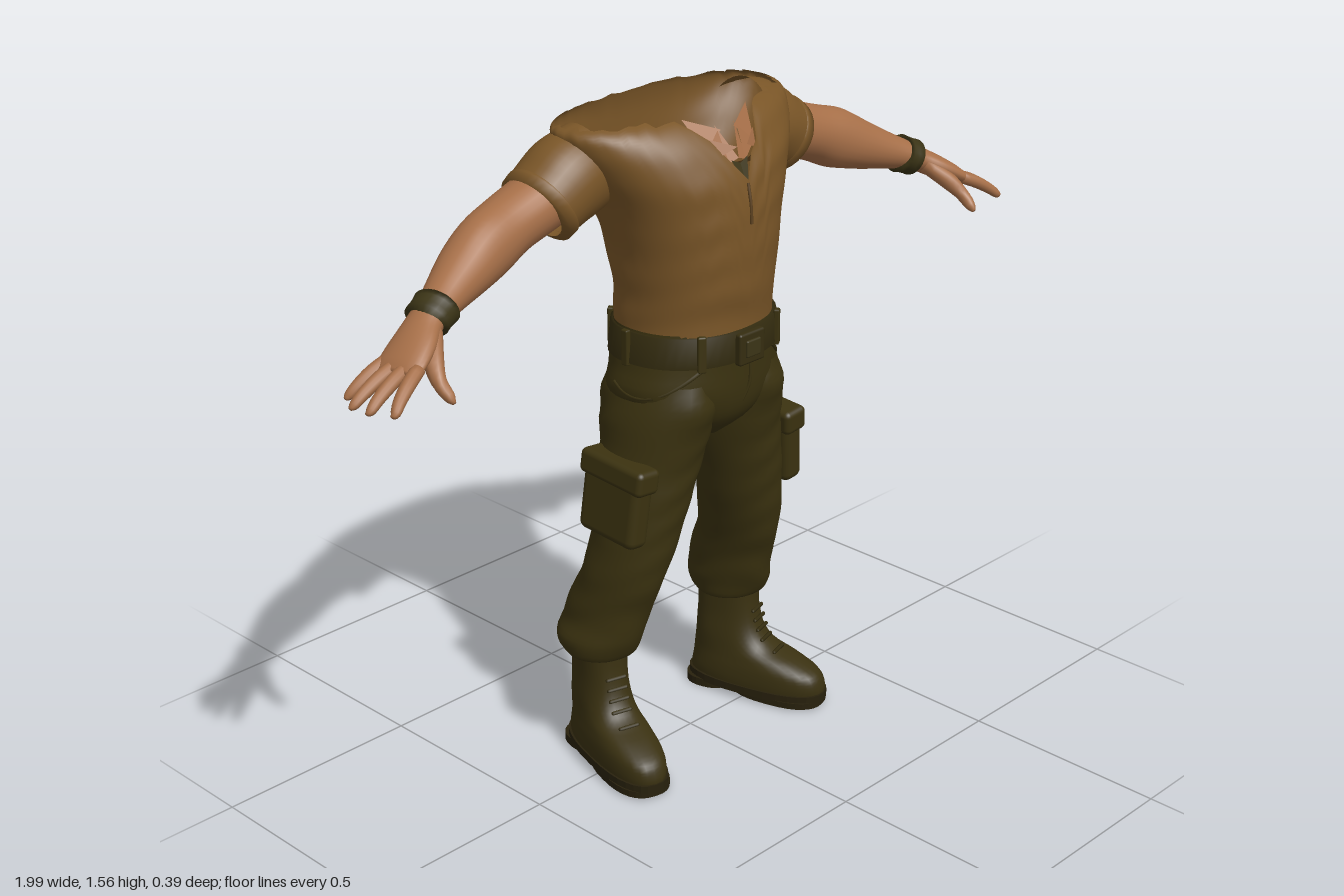
import * as THREE from 'three';
import { RoundedBoxGeometry } from 'three/addons/geometries/RoundedBoxGeometry.js';

const V = (x, y, z) => new THREE.Vector3(x, y, z);
const mat = (name, color) => {
  const m = new THREE.MeshStandardMaterial({ color, side: THREE.DoubleSide });
  m.name = name;
  return m;
};
const hash = (k) => {
  const v = Math.sin(k * 12.9898 + 4.1) * 43758.5453;
  return v - Math.floor(v);
};

// Smooth skin over rings [x, y, z, side radius, front radius, back radius].
// along: rings stand square to the path; otherwise they stay level.
// end(angle): how far up the path the skin reaches; fold: depth of cloth creases.
function loft(rings, { seg = 32, sub = 4, pow = 2, along = false, cap = false, end = null, fold = 0 } = {}) {
  const centre = new THREE.CatmullRomCurve3(rings.map((r) => V(r[0], r[1], r[2])), false, 'catmullrom');
  const radii = new THREE.CatmullRomCurve3(rings.map((r) => V(r[3], r[4], r[5] ?? r[4])), false, 'catmullrom');
  const rows = (rings.length - 1) * sub;
  const pos = [], idx = [];
  const bend = (v) => Math.sign(v) * Math.abs(v) ** (2 / pow);
  for (let i = 0; i <= rows; i++) {
    for (let j = 0; j < seg; j++) {
      const th = (j / seg) * Math.PI * 2;
      const t = (i / rows) * (end ? end(th, j) : 1);
      const c = centre.getPoint(t), r = radii.getPoint(t);
      const dir = along ? centre.getTangent(t) : V(0, 1, 0);
      const w = V(0, 0, 1).addScaledVector(dir, -dir.z).normalize();
      const n = w.clone().cross(dir);
      const k = 1 + fold * Math.sin(c.y * 62 + 2.2 * Math.sin(th * 2 + c.y * 9)) * (0.6 + 0.4 * Math.cos(th * 3));
      const cs = Math.cos(th);
      c.addScaledVector(w, bend(cs) * (cs > 0 ? r.y : r.z) * k).addScaledVector(n, bend(Math.sin(th)) * r.x * k);
      pos.push(c.x, c.y, c.z);
    }
  }
  const at = (i, j) => i * seg + (j % seg);
  for (let i = 0; i < rows; i++)
    for (let j = 0; j < seg; j++)
      idx.push(at(i, j), at(i + 1, j), at(i, j + 1), at(i, j + 1), at(i + 1, j), at(i + 1, j + 1));
  if (cap) {
    const a = rings[0], b = rings[rings.length - 1], k = pos.length / 3;
    pos.push(a[0], a[1], a[2], b[0], b[1], b[2]);
    for (let j = 0; j < seg; j++) idx.push(k, at(0, j), at(0, j + 1), k + 1, at(rows, j + 1), at(rows, j));
  }
  const g = new THREE.BufferGeometry();
  g.setAttribute('position', new THREE.Float32BufferAttribute(pos, 3));
  g.setIndex(idx);
  g.computeVertexNormals();
  return g;
}

const tube = (pts, r) => new THREE.TubeGeometry(new THREE.CatmullRomCurve3(pts), 20, r, 6);

export function createModel() {
  const model = new THREE.Group();
  model.name = 'headlessFigure';
  const shirt = mat('shirtBrown', 0x795527), seam = mat('seamBrown', 0x5c401c);
  const skin = mat('skin', 0xa66f48), cloth = mat('trouserOlive', 0x3b3210);
  const leather = mat('leatherOlive', 0x352d10), boot = mat('bootOlive', 0x3a3111);
  const band = mat('bandOlive', 0x3b3416), sole = mat('soleDark', 0x28210d);
  const add = (name, geo, m, parent = model) => {
    const mesh = new THREE.Mesh(geo, m);
    mesh.name = name;
    parent.add(mesh);
    return mesh;
  };

  // Hollow shirt with a torn rim and a V neck
  add('shirtBody', loft([
    [0, 1.06, 0, 0.188, 0.168, 0.14], [0, 1.12, 0, 0.185, 0.172, 0.145], [0, 1.2, 0, 0.19, 0.182, 0.15],
    [0, 1.3, -0.01, 0.207, 0.195, 0.165], [0, 1.38, -0.03, 0.237, 0.21, 0.155], [0, 1.45, -0.05, 0.277, 0.215, 0.142],
    [0, 1.51, -0.07, 0.315, 0.2, 0.122], [0, 1.55, -0.08, 0.32, 0.17, 0.107], [0, 1.57, -0.08, 0.26, 0.12, 0.1],
  ], {
    seg: 72, sub: 6, pow: 2.25, fold: 0.009,
    end: (th, j) => {
      const off = Math.min(th, Math.PI * 2 - th);
      return 0.92 - 0.33 * Math.max(0, 1 - off / 0.36) + (hash(j) - 0.5) * 0.06;
    },
  }), shirt);
  add('frontSeam', tube([V(0, 1.42, 0.173), V(0, 1.38, 0.181), V(0, 1.33, 0.185)], 0.004), seam);

  // Torn scraps of chest and collar in the V neck
  const scraps = (list) => {
    const g = new THREE.BufferGeometry();
    g.setAttribute('position', new THREE.Float32BufferAttribute(list.flat(), 3));
    g.computeVertexNormals();
    return g;
  };
  const chest = [], collar = [];
  for (const s of [-1, 1]) {
    chest.push([s * 0.1, 1.56, 0.07, s * 0.075, 1.49, 0.12, s * 0.02, 1.53, 0.11]);
    chest.push([s * 0.075, 1.49, 0.12, s * 0.025, 1.46, 0.142, s * 0.03, 1.53, 0.11]);
    chest.push([s * 0.03, 1.54, 0.1, s * 0.03, 1.46, 0.14, 0, 1.47, 0.145]);
    chest.push([s * 0.07, 1.52, 0.12, s * 0.06, 1.48, 0.14, s * 0.015, 1.5, 0.155]);
    collar.push([s * 0.025, 1.47, 0.147, 0, 1.4, 0.176, 0, 1.46, 0.15]);
  }
  add('chestScraps', scraps(chest), skin);
  add('collarScraps', scraps(collar), band);

  // Trouser seat, belt, buckle and loops
  add('trouserSeat', loft([
    [0, 0.805, 0, 0.04, 0.08, 0.07], [0, 0.86, 0, 0.15, 0.142, 0.132], [0, 0.93, 0, 0.214, 0.164, 0.15],
    [0, 1.0, 0, 0.205, 0.168, 0.146], [0, 1.09, 0, 0.19, 0.168, 0.142],
  ], { seg: 40, pow: 2.2, fold: 0.006 }), cloth);
  add('belt', loft([
    [0, 1.015, 0, 0.196, 0.165, 0.14], [0, 1.015, 0, 0.207, 0.18, 0.152],
    [0, 1.085, 0, 0.197, 0.18, 0.15], [0, 1.085, 0, 0.186, 0.165, 0.138],
  ], { seg: 48, sub: 1, pow: 2.2 }), leather);
  add('buckle', new RoundedBoxGeometry(0.08, 0.075, 0.02, 2, 0.006), leather).position.set(0, 1.045, 0.183);
  add('bucklePlate', new RoundedBoxGeometry(0.045, 0.04, 0.012, 2, 0.004), band).position.set(0, 1.045, 0.192);
  for (const a of [0.6, 1.57, 2.5, -0.6, -1.57, -2.5]) {
    const l = add('beltLoop', new RoundedBoxGeometry(0.02, 0.085, 0.014, 1, 0.004), cloth);
    const q = (v) => Math.sign(v) * Math.abs(v) ** (2 / 2.2);
    l.position.set(q(Math.sin(a)) * 0.205, 1.05, q(Math.cos(a)) * (Math.cos(a) > 0 ? 0.182 : 0.154));
    l.rotation.y = a;
  }
  add('fly', tube([V(0.018, 1.01, 0.168), V(0.018, 0.95, 0.167), V(0, 0.89, 0.152)], 0.004), cloth);

  for (const s of [1, -1]) {
    const side = s > 0 ? 'left' : 'right';
    const M = (rings) => rings.map((r) => [r[0] * s, ...r.slice(1)]);
    const arm = new THREE.Group(), leg = new THREE.Group();
    arm.name = side + 'Arm';
    leg.name = side + 'Leg';
    model.add(arm, leg);

    // Sleeve with turned cuff
    add('sleeve', loft(M([
      [0.235, 1.462, -0.08, 0.098, 0.092], [0.3, 1.442, -0.08, 0.1, 0.096], [0.345, 1.418, -0.08, 0.093, 0.094],
      [0.385, 1.394, -0.08, 0.087, 0.09],
    ]), { along: true, fold: 0.012 }), shirt, arm);
    add('cuff', loft(M([
      [0.364, 1.407, -0.08, 0.088, 0.09], [0.366, 1.406, -0.08, 0.093, 0.096],
      [0.386, 1.393, -0.08, 0.091, 0.094], [0.388, 1.392, -0.08, 0.07, 0.072],
    ]), { along: true, sub: 1 }), shirt, arm);

    // Arm and palm
    add('armAndPalm', loft(M([
      [0.3, 1.44, -0.08, 0.072, 0.074], [0.4, 1.405, -0.08, 0.068, 0.074], [0.48, 1.38, -0.075, 0.067, 0.07],
      [0.55, 1.355, -0.062, 0.072, 0.066], [0.62, 1.327, -0.045, 0.061, 0.062], [0.69, 1.302, -0.02, 0.046, 0.05],
      [0.74, 1.285, 0, 0.036, 0.042], [0.785, 1.265, 0.014, 0.03, 0.044], [0.83, 1.24, 0.034, 0.027, 0.056],
      [0.87, 1.216, 0.047, 0.022, 0.06], [0.893, 1.204, 0.052, 0.012, 0.052],
    ]), { along: true, cap: true, seg: 24 }), skin, arm);

    // Fingers: base z, tip x, tip z
    for (const [z0, x1, z1] of [[0.006, 0.965, -0.008], [0.035, 0.99, 0.038], [0.064, 0.985, 0.084], [0.092, 0.96, 0.13]]) {
      const d = x1 - 0.865;
      add('finger', loft(M([
        [0.865, 1.217, z0, 0.015, 0.016], [0.865 + d * 0.4, 1.2, z0 + (z1 - z0) * 0.4, 0.015, 0.016],
        [0.865 + d * 0.75, 1.179, z0 + (z1 - z0) * 0.75, 0.013, 0.014], [0.865 + d * 0.95, 1.163, z1, 0.01, 0.011],
        [0.87 + d, 1.157, z1, 0.004, 0.005],
      ]), { along: true, cap: true, seg: 12, sub: 3 }), skin, arm);
    }
    add('thumb', loft(M([
      [0.782, 1.258, 0.04, 0.02, 0.022], [0.815, 1.222, 0.08, 0.021, 0.022], [0.832, 1.19, 0.115, 0.016, 0.017],
      [0.832, 1.165, 0.145, 0.012, 0.013], [0.83, 1.154, 0.158, 0.004, 0.005],
    ]), { along: true, cap: true, seg: 12, sub: 3 }), skin, arm);

    // Wristband with two raised edges
    add('wristband', loft(M([
      [0.73, 1.289, -0.004, 0.034, 0.04], [0.731, 1.288, -0.004, 0.047, 0.054], [0.742, 1.284, 0, 0.045, 0.052],
      [0.756, 1.278, 0.004, 0.044, 0.051], [0.768, 1.273, 0.008, 0.045, 0.052], [0.769, 1.272, 0.008, 0.028, 0.038],
    ]), { along: true, sub: 1, seg: 24 }), band, arm);

    // Trouser leg gathered over the boot
    add('trouserLeg', loft(M([
      [0.225, 0.295, -0.08, 0.06, 0.07, 0.07], [0.222, 0.277, -0.08, 0.085, 0.085, 0.085],
      [0.222, 0.315, -0.08, 0.094, 0.105, 0.11], [0.212, 0.36, -0.07, 0.088, 0.11, 0.112],
      [0.205, 0.42, -0.055, 0.086, 0.112, 0.105], [0.192, 0.5, -0.03, 0.091, 0.115, 0.095],
      [0.17, 0.6, -0.005, 0.099, 0.108, 0.106], [0.148, 0.7, 0, 0.106, 0.118, 0.115],
      [0.125, 0.8, 0, 0.115, 0.132, 0.125], [0.112, 0.9, 0.005, 0.11, 0.152, 0.147], [0.105, 0.97, 0.005, 0.09, 0.145, 0.135],
    ]), { fold: 0.022 }), cloth, leg);

    // Cargo pocket, flap and curved hip pocket seam
    const pocket = new THREE.Group();
    pocket.name = 'cargoPocket';
    pocket.position.set(s * 0.252, 0.7, 0.012);
    pocket.rotation.set(0.06, 0, s * 0.1);
    leg.add(pocket);
    add('pocketBag', new RoundedBoxGeometry(0.06, 0.175, 0.175, 3, 0.02), cloth, pocket).position.y = -0.008;
    add('pocketFlap', new RoundedBoxGeometry(0.068, 0.06, 0.195, 3, 0.014), cloth, pocket).position.y = 0.07;
    const hip = [];
    for (let i = 0; i <= 8; i++) {
      const a = 0.55 + i * 0.15;
      hip.push(V(s * Math.sin(a) * 0.214, 1.01 - 0.07 * Math.sin((i / 8) * 2.4), Math.cos(a) * 0.174));
    }
    add('hipPocketSeam', tube(hip, 0.005), cloth, leg);

    // Toed-out boot with sole, heel and laces
    const foot = new THREE.Group();
    foot.name = 'boot';
    foot.position.set(s * 0.222, 0, -0.085);
    foot.rotation.y = s * 0.27;
    leg.add(foot);
    add('bootUpper', loft([
      [0, 0.022, 0.085, 0.069, 0.178, 0.18], [0, 0.05, 0.085, 0.072, 0.182, 0.178], [0, 0.08, 0.08, 0.071, 0.172, 0.168],
      [0, 0.105, 0.06, 0.067, 0.14, 0.145], [0, 0.13, 0.03, 0.063, 0.1, 0.112], [0, 0.17, 0.005, 0.06, 0.09, 0.083],
      [0, 0.23, 0, 0.057, 0.08, 0.074], [0, 0.32, 0, 0.06, 0.078, 0.074],
    ], { pow: 2.4, fold: 0.008 }), boot, foot);
    const slab = (name, z, y0, y1, a, b) => add(name, loft(
      [[0, y0, z, a, b], [0, y1, z, a, b]], { sub: 1, pow: 2.5, cap: true }).toNonIndexed(), sole, foot).geometry.computeVertexNormals();
    slab('soleWelt', 0.085, 0.016, 0.036, 0.075, 0.185);
    slab('frontSole', 0.145, 0.004, 0.02, 0.072, 0.122);
    slab('heel', -0.04, 0, 0.02, 0.064, 0.062);
    for (let i = 0; i < 5; i++) {
      const lace = add('lace', new THREE.CapsuleGeometry(0.005, 0.045, 3, 6), leather, foot);
      lace.rotation.z = Math.PI / 2;
      lace.position.set(0, 0.125 + i * 0.025, [0.142, 0.108, 0.096, 0.088, 0.082][i]);
    }
  }
  return model;
}
